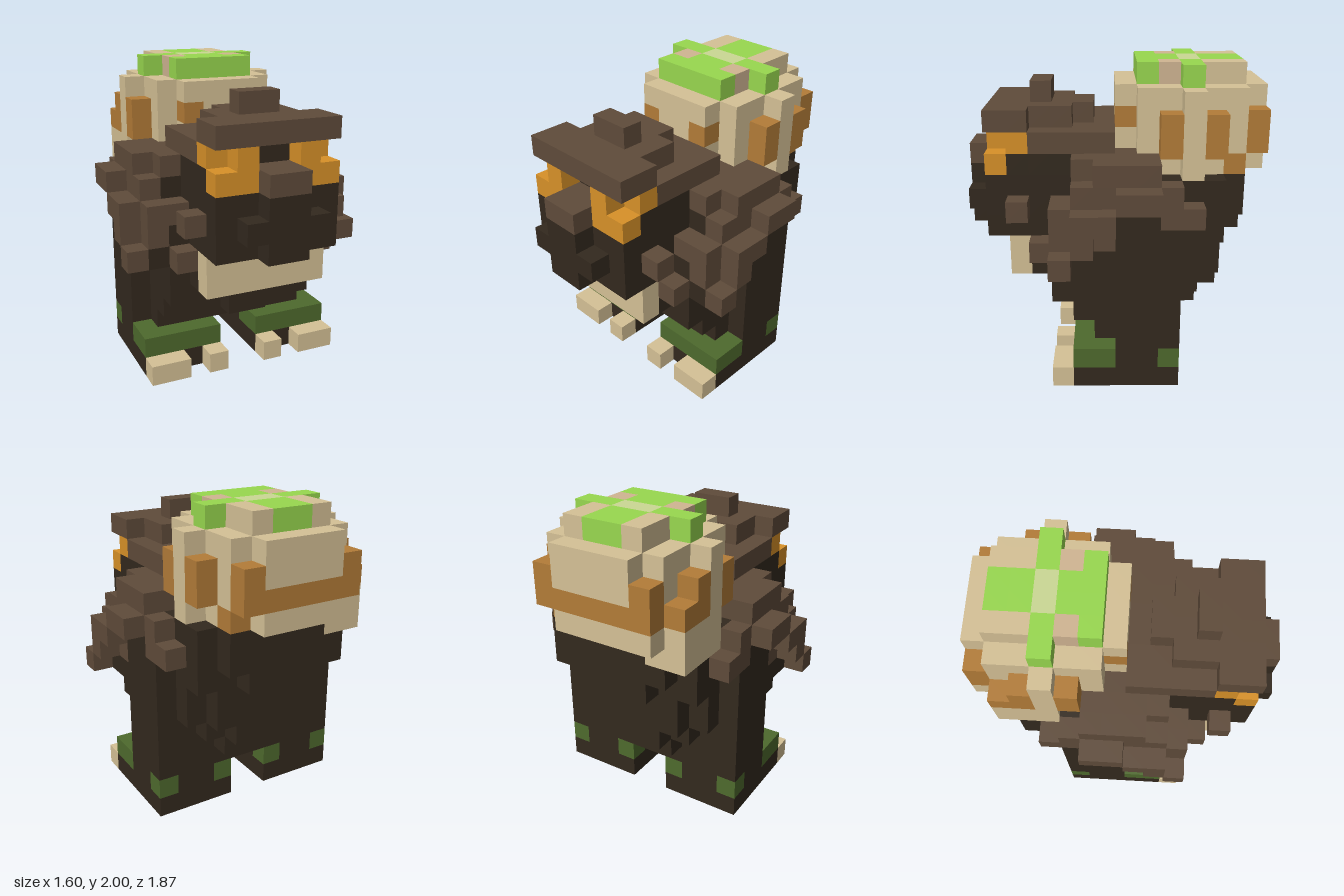
import * as THREE from 'three';

const UNIT = 2 / 15; // edge of one block

const make = (name, hex) => {
  const m = new THREE.MeshStandardMaterial({ color: hex });
  m.name = name;
  return m;
};

// Six face directions with the corners of a unit block, counter-clockwise from outside
const FACES = [
  [[1, 0, 0], [[1, 0, 1], [1, 0, 0], [1, 1, 0], [1, 1, 1]]],
  [[-1, 0, 0], [[0, 0, 0], [0, 0, 1], [0, 1, 1], [0, 1, 0]]],
  [[0, 1, 0], [[0, 1, 1], [1, 1, 1], [1, 1, 0], [0, 1, 0]]],
  [[0, -1, 0], [[0, 0, 0], [1, 0, 0], [1, 0, 1], [0, 0, 1]]],
  [[0, 0, 1], [[0, 0, 1], [1, 0, 1], [1, 1, 1], [0, 1, 1]]],
  [[0, 0, -1], [[1, 0, 0], [0, 0, 0], [0, 1, 0], [1, 1, 0]]],
];

export function createModel() {
  const dark = make('darkHide', 0x33291e);
  const brown = make('brownFur', 0x5f4b3a);
  const bone = make('bone', 0xd5c196);
  const rust = make('rust', 0xb37c38);
  const moss = make('moss', 0x98d84f);
  const paleMoss = make('paleMoss', 0xcbd894);
  const clay = make('clay', 0xd0b592);
  const cuff = make('cuffGreen', 0x4e6a2d);
  const amber = make('amber', 0xd89128);

  const cells = new Map();
  // Fill a range of blocks; later fills repaint earlier ones
  const fill = (part, mat, x0, x1, y0, y1, z0, z1) => {
    for (let x = x0; x < x1; x++)
      for (let y = y0; y < y1; y++)
        for (let z = z0; z < z1; z++) cells.set(`${x},${y},${z}`, { part, mat, p: [x, y, z] });
  };
  // Fill both sides, x measured outwards from the centre
  const pair = (part, mat, x0, x1, ...r) => {
    fill(part, mat, x0, x1, ...r);
    fill(part, mat, -x1, -x0, ...r);
  };
  // Fill across the centre
  const mid = (part, mat, x, ...r) => fill(part, mat, -x, x, ...r);

  // Legs with cuffs and toes
  pair('leg', dark, 1, 5, 0, 3, -3, 0);
  pair('leg', dark, 1, 5, 0, 1, 0, 2);
  pair('cuff', cuff, 1, 5, 1, 2, 0, 2);
  pair('cuff', cuff, 1, 2, 1, 2, -3, -2);
  pair('cuff', cuff, 4, 5, 1, 2, -3, -2);
  pair('toe', bone, 1, 2, 0, 1, 2, 3);
  pair('toe', bone, 3, 5, 0, 1, 2, 3);

  // Torso, stepped outwards towards the shoulders
  mid('torso', dark, 4, 2, 3, -3, 1);
  pair('torso', dark, 4, 5, 2, 9, -3, 0);
  mid('torso', dark, 4, 4, 7, -3, 3);
  mid('torso', dark, 4, 5, 7, -4, -3);
  mid('torso', dark, 3, 4, 5, -4, -3);
  mid('torso', dark, 3, 5, 7, -5, -4);
  mid('torso', dark, 2, 4, 5, -5, -4);
  mid('torso', dark, 4, 3, 4, -3, 2);
  mid('torso', dark, 2, 3, 4, -4, -3);
  mid('torso', dark, 1, 3, 4, 2, 3);
  mid('torso', dark, 3, 5, 7, 3, 4);
  mid('torso', dark, 4, 7, 10, -5, 2);
  mid('torso', dark, 4, 7, 8, 2, 3);
  mid('torso', dark, 3, 8, 10, -6, -5);
  mid('torso', dark, 2, 7, 8, -6, -5);

  // Shaggy shoulders in staggered blocks
  mid('mane', brown, 4, 10, 11, -2, 2);
  mid('mane', brown, 3, 11, 12, 0, 4);
  pair('mane', brown, 4, 5, 10, 11, -2, 1);
  pair('mane', brown, 4, 5, 9, 10, -3, 2);
  pair('mane', brown, 3, 5, 8, 9, 2, 3);
  pair('mane', brown, 4, 5, 7, 9, 0, 2);
  pair('mane', brown, 4, 5, 7, 8, 2, 3);
  pair('mane', brown, 4, 5, 8, 9, -4, -2);
  pair('mane', brown, 5, 6, 9, 10, -2, 0);
  pair('mane', brown, 5, 6, 8, 9, 0, 2);
  pair('mane', brown, 5, 6, 7, 8, 1, 2);
  pair('mane', brown, 5, 6, 6, 7, 2, 3);
  pair('mane', dark, 4, 5, 6, 7, 0, 3);
  pair('mane', brown, 3, 4, 6, 7, 2, 4);

  // Face: skull, muzzle, nose and jaw
  mid('face', dark, 3, 7, 11, 2, 5);
  mid('face', dark, 3, 11, 12, 4, 5);
  mid('face', dark, 3, 7, 10, 5, 6);
  mid('face', dark, 1, 10, 11, 5, 6);
  pair('cheek', brown, 3, 4, 8, 9, 4, 5);
  mid('nose', dark, 1, 7, 10, 6, 7);
  mid('nose', dark, 2, 8, 9, 6, 7);
  mid('noseBridge', brown, 1, 10, 11, 5, 7);
  mid('jaw', bone, 3, 5, 7, 4, 5);

  // Eyes under a heavy brow with a small crest
  pair('eye', amber, 1, 3, 10, 11, 5, 6);
  pair('eye', amber, 1, 3, 11, 12, 4, 5);
  pair('eye', amber, 1, 2, 11, 12, 5, 6);
  mid('brow', brown, 3, 12, 13, 4, 6);
  mid('brow', brown, 2, 12, 13, 2, 4);
  mid('brow', brown, 1, 12, 13, 1, 2);
  mid('crest', brown, 1, 13, 14, 3, 4);

  // Round bone-coloured pack on the back, hanging lower at one corner
  mid('pack', bone, 2, 11, 14, -1, 0);
  mid('pack', bone, 3, 11, 14, -6, -1);
  mid('pack', bone, 3, 10, 11, -6, -2);
  pair('pack', bone, 3, 4, 10, 14, -4, -3);
  mid('pack', bone, 3, 11, 13, -7, -6);
  mid('pack', bone, 2, 13, 14, -7, -6);
  fill('pack', bone, -3, 2, 10, 11, -7, -6);
  fill('pack', bone, -4, -2, 9, 11, -6, -3);

  // Rusty patches around the pack
  pair('patch', rust, 3, 4, 11, 13, -3, -2);
  pair('patch', rust, 3, 4, 11, 13, -5, -4);
  fill('patch', rust, -4, -3, 11, 12, -6, -5);
  fill('patch', rust, 2, 3, 10, 11, -6, -5);
  pair('patch', rust, 1, 2, 12, 13, -1, 0);
  mid('patch', rust, 3, 11, 12, -7, -6);
  pair('patch', rust, 2, 3, 12, 13, -7, -6);

  // Mossy cap in a cross over the top
  mid('capBase', bone, 2, 14, 15, -6, -3);
  pair('capBase', clay, 1, 2, 14, 15, -3, -2);
  mid('cap', moss, 2, 14, 15, -2, -1);
  mid('cap', moss, 1, 14, 15, -6, -2);
  mid('cap', moss, 3, 14, 15, -4, -3);
  mid('capCentre', paleMoss, 1, 14, 15, -4, -3);

  // Gather the exposed block faces of each part and colour
  const sets = new Map();
  for (const { part, mat, p } of cells.values()) {
    const key = `${part}_${mat.name}`;
    if (!sets.has(key)) sets.set(key, { part, mat, pos: [], nor: [], idx: [] });
    const s = sets.get(key);
    for (const [d, corners] of FACES) {
      if (cells.has(p.map((v, i) => v + d[i]).join(','))) continue;
      const b = s.pos.length / 3;
      for (const c of corners) {
        s.pos.push(...c.map((v, i) => (v + p[i]) * UNIT));
        s.nor.push(...d);
      }
      s.idx.push(b, b + 1, b + 2, b, b + 2, b + 3);
    }
  }

  const model = new THREE.Group();
  model.name = 'blockBeast';
  for (const { part, mat, pos, nor, idx } of sets.values()) {
    if (!idx.length) continue;
    const g = new THREE.BufferGeometry();
    g.setAttribute('position', new THREE.Float32BufferAttribute(pos, 3));
    g.setAttribute('normal', new THREE.Float32BufferAttribute(nor, 3));
    g.setIndex(idx);
    const mesh = new THREE.Mesh(g, mat);
    mesh.name = part;
    model.add(mesh);
  }
  return model;
}
